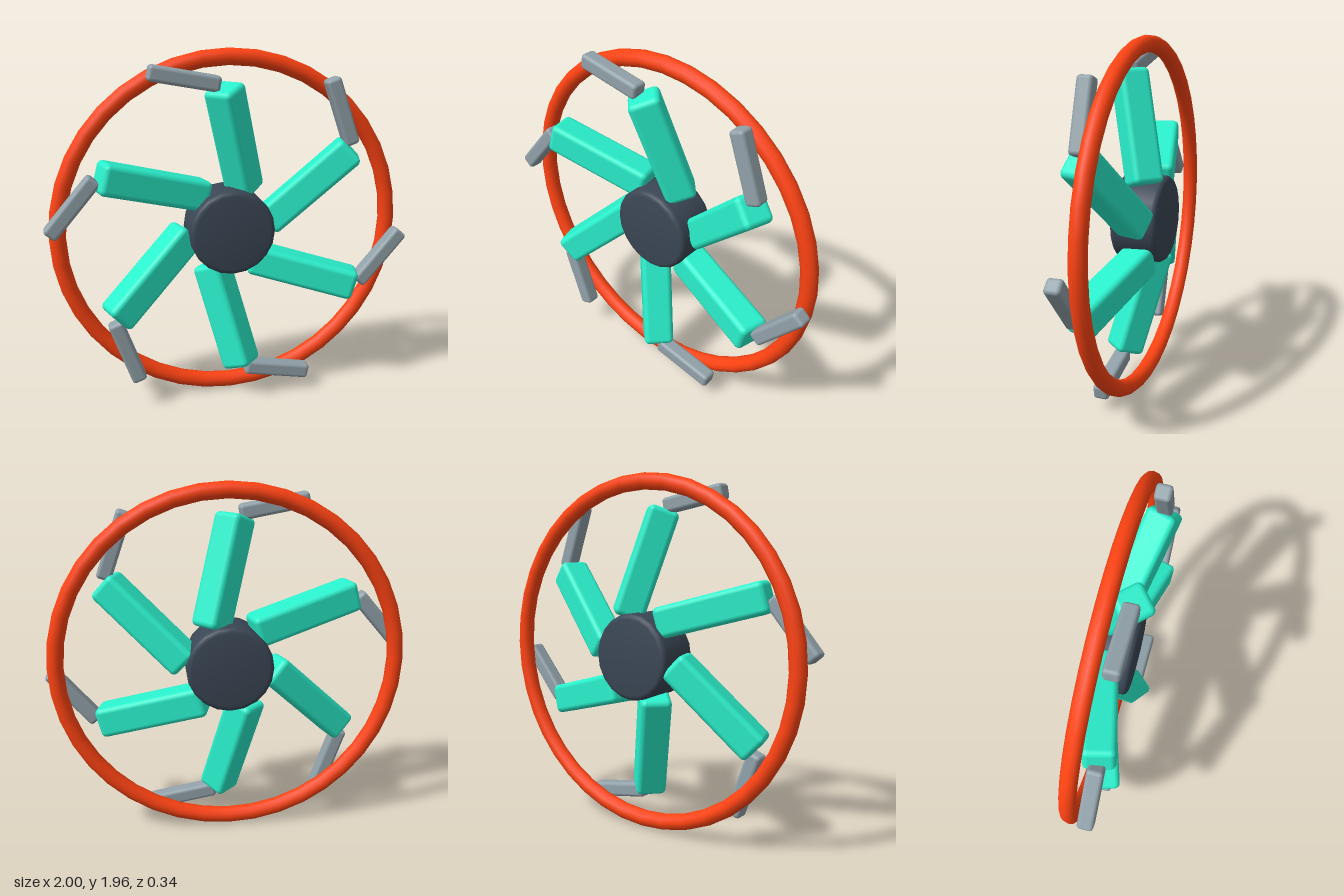
import * as THREE from 'three';
import { RoundedBoxGeometry } from 'three/addons/geometries/RoundedBoxGeometry.js';
import { toCreasedNormals } from 'three/addons/utils/BufferGeometryUtils.js';

const CENTER_Y = 0.984;
const COUNT = 6;
const UP = new THREE.Vector3(0, 1, 0);
const AXLE = new THREE.Vector3(0, 0, 1);
const ORIGIN = new THREE.Vector3();
const deg = THREE.MathUtils.degToRad;

function part(name, geometry, color) {
  const mesh = new THREE.Mesh(geometry, new THREE.MeshStandardMaterial({ color }));
  mesh.name = name;
  return mesh;
}

// Drum with rounded rims, its axis along z
function hubGeometry(radius, back, front, bevel) {
  const points = [new THREE.Vector2(0, back)];
  for (let i = 0; i <= 4; i++) {
    const a = (i / 4) * Math.PI / 2;
    points.push(new THREE.Vector2(radius - bevel + bevel * Math.sin(a), back + bevel - bevel * Math.cos(a)));
  }
  for (let i = 0; i <= 4; i++) {
    const a = (i / 4) * Math.PI / 2;
    points.push(new THREE.Vector2(radius - bevel + bevel * Math.cos(a), front - bevel + bevel * Math.sin(a)));
  }
  points.push(new THREE.Vector2(0, front));
  return toCreasedNormals(new THREE.LatheGeometry(points, 20).rotateX(Math.PI / 2), deg(30));
}

export function createModel() {
  const model = new THREE.Group();
  model.name = 'fanWheel';
  const wheel = new THREE.Group();
  wheel.name = 'wheel';
  wheel.position.y = CENTER_Y;
  model.add(wheel);

  // Outer ring and central hub
  const ring = part('outerRing', new THREE.TorusGeometry(0.935, 0.045, 12, 40), 0xff4312);
  ring.position.z = -0.04;
  wheel.add(ring, part('hub', hubGeometry(0.238, -0.172, 0.086, 0.03), 0x3b4755));

  const bladeGeometry = new RoundedBoxGeometry(0.17, 0.17, 0.62, 3, 0.03);
  const vaneGeometry = new RoundedBoxGeometry(0.38, 0.084, 0.086, 3, 0.02);
  for (let i = 0; i < COUNT; i++) {
    const angle = (i / COUNT) * Math.PI * 2;

    // Blade leaning forward towards its tip, two of its sides kept level
    const blade = part(`blade${i + 1}`, bladeGeometry, 0x2af0cc);
    const along = new THREE.Vector3(-0.24, 0.944, 0.225).applyAxisAngle(AXLE, angle);
    blade.position.set(0.023, 0.499, 0).applyAxisAngle(AXLE, angle);
    blade.quaternion.setFromRotationMatrix(new THREE.Matrix4().lookAt(along, ORIGIN, UP));

    // Slanted vane at the tip
    const vane = part(`tipVane${i + 1}`, vaneGeometry, 0x92a2aa);
    vane.position.set(-0.257, 0.839, 0.064).applyAxisAngle(AXLE, angle);
    vane.rotation.z = angle - deg(10.5);

    wheel.add(blade, vane);
  }
  return model;
}
